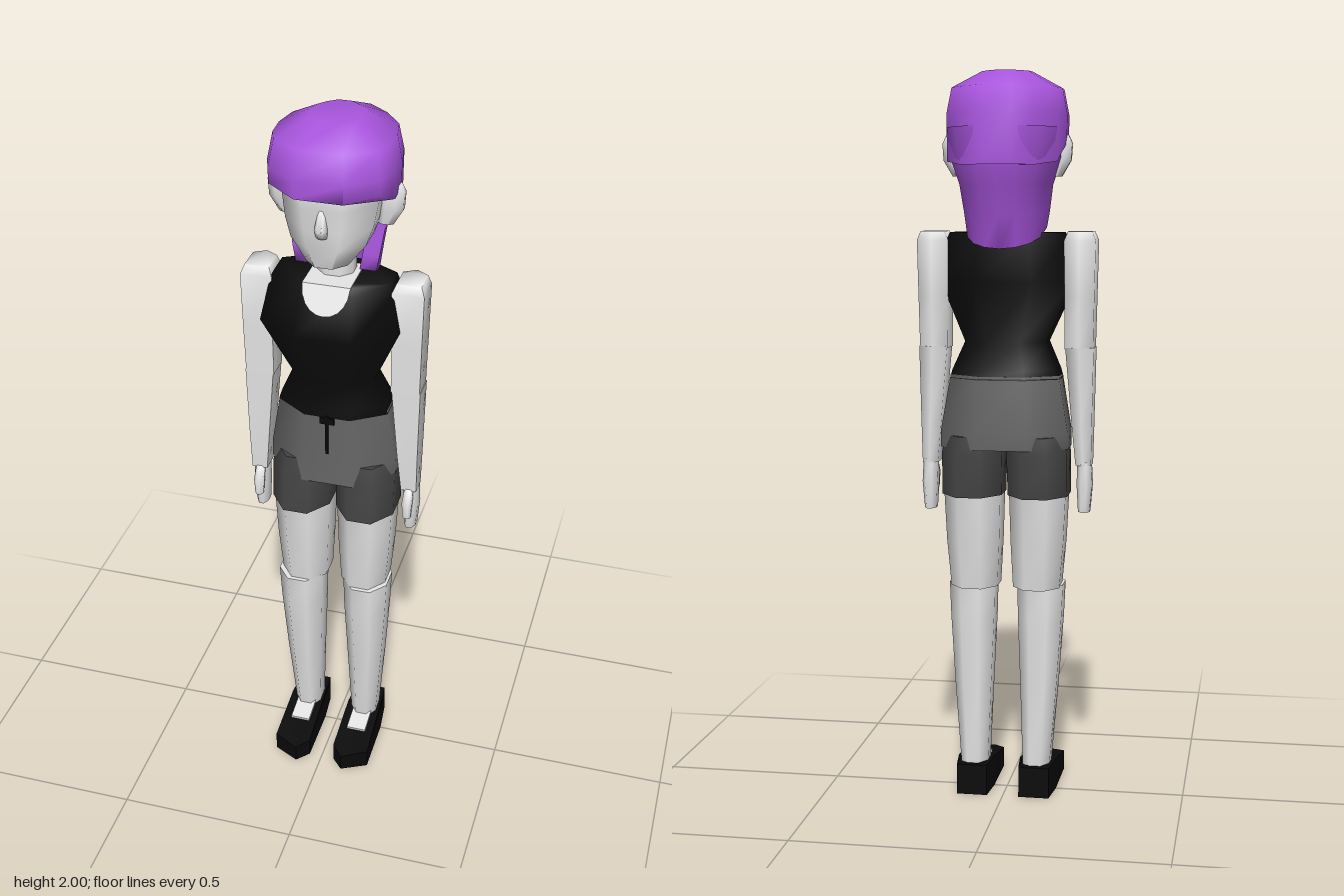
import * as THREE from 'three';
import { toCreasedNormals } from 'three/addons/utils/BufferGeometryUtils.js';

const material = (name, color) => {
  const m = new THREE.MeshStandardMaterial({ color, side: THREE.DoubleSide });
  m.name = name;
  return m;
};

// Closed solid through a stack of rings of [x, y, z]; side = -1 mirrors it across x.
function loft(rings, side = 1, crease = 1.3) {
  if (side < 0) rings = rings.map(r => r.map(([x, y, z]) => [-x, y, z]).reverse());
  const n = rings[0].length, pos = rings.flat(2), index = [];
  for (let k = 0; k < rings.length - 1; k++) {
    for (let i = 0; i < n; i++) {
      const a = k * n + i, b = k * n + (i + 1) % n;
      index.push(b, a, a + n, b, a + n, b + n);
    }
  }
  for (const [k, up] of [[0, -1], [rings.length - 1, 1]]) {
    const pts = rings[k].map(p => new THREE.Vector2(p[0], p[2]));
    for (const [a, b, c] of THREE.ShapeUtils.triangulateShape(pts, [])) {
      const [p, q, r] = [pts[a], pts[b], pts[c]];
      const facing = (q.y - p.y) * (r.x - p.x) - (q.x - p.x) * (r.y - p.y);
      if (facing * up > 0) index.push(k * n + a, k * n + b, k * n + c);
      else index.push(k * n + a, k * n + c, k * n + b);
    }
  }
  const g = new THREE.BufferGeometry();
  g.setAttribute('position', new THREE.Float32BufferAttribute(pos, 3));
  g.setIndex(index);
  return toCreasedNormals(g, crease);
}

// Eight-sided ring filling the given x and z ranges.
function oct(y, x0, x1, z0, z1) {
  const s = 0.5 / Math.cos(Math.PI / 8);
  return Array.from({ length: 8 }, (_, i) => {
    const a = (i + 0.5) * Math.PI / 4;
    return [(x0 + x1) / 2 + Math.cos(a) * (x1 - x0) * s, y, (z0 + z1) / 2 + Math.sin(a) * (z1 - z0) * s];
  });
}
const body = (y, w, z0, z1) => oct(y, -w, w, z0, z1);

// Five-sided arm ring, pointed at the back.
const pent = (y, x0, x1, z0, z1) => {
  const back = z0 + (z1 - z0) * 0.22;
  return [[x1, y, back], [x1, y, z1], [x0, y, z1], [x0, y, back], [(x0 + x1) / 2, y, z0]];
};

export function createModel() {
  const skin = material('skin', 0xe6e6e6);
  const purple = material('hair purple', 0xa855dd);
  const black = material('black cloth', 0x0a0a0a);
  const grey = material('shorts grey', 0x666666);
  const dark = material('cuff grey', 0x444444);

  const model = new THREE.Group();
  const add = (name, geometry, mat) => {
    const m = new THREE.Mesh(geometry, mat);
    m.name = name;
    model.add(m);
    return m;
  };

  // Head, neck and nose
  add('head', loft([
    body(1.635, 0.055, 0.01, 0.125), body(1.69, 0.098, -0.05, 0.135), body(1.74, 0.115, -0.09, 0.138),
    body(1.8, 0.125, -0.13, 0.142), body(1.86, 0.14, -0.14, 0.145), body(1.92, 0.11, -0.12, 0.11),
  ]), skin);
  add('neck', loft([body(1.54, 0.048, -0.05, 0.045), body(1.68, 0.048, -0.05, 0.045)]), skin);
  add('nose', loft([
    oct(1.725, -0.014, 0.014, 0.12, 0.146), oct(1.75, -0.016, 0.016, 0.12, 0.165), oct(1.8, -0.008, 0.008, 0.12, 0.143),
  ]), skin);

  // Hair cap: half outline as [x, z, lower edge height]
  const half = [[0.042, -0.209, 1.75], [0.1, -0.16, 1.75], [0.15, -0.09, 1.76], [0.165, -0.01, 1.81],
    [0.162, 0.06, 1.815], [0.143, 0.117, 1.845], [0.063, 0.169, 1.835]];
  const outline = [...half, ...half.map(([x, z, y]) => [-x, z, y]).reverse()];
  const capRing = (y, sx, sz) => outline.map(([x, z, low]) => [x * sx, y || low, z * sz]);
  add('hairCap', loft([capRing(0, 0.99, 0.99), capRing(1.885, 1, 1), capRing(1.955, 0.92, 0.87), capRing(2, 0.42, 0.38)]), purple);

  // Long hair hanging behind the ears: a U-shaped wall
  const drapeRing = (w, zf, zb, ySide, yBack, t = 0.045) => {
    const arc = (ww, back) => Array.from({ length: 9 }, (_, i) => {
      const a = Math.PI * (1 + i / 8), s = Math.pow(Math.abs(Math.sin(a)), 0.8);
      return [ww * Math.cos(a), ySide + (yBack - ySide) * s, zf + (back - zf) * s];
    });
    return [...arc(w, zb), ...arc(w - t, zb + t).reverse()];
  };
  add('longHair', loft([
    drapeRing(0.108, 0.01, -0.135, 1.585, 1.53), drapeRing(0.116, 0.01, -0.155, 1.63, 1.62),
    drapeRing(0.126, 0.0, -0.182, 1.7, 1.7), drapeRing(0.15, -0.005, -0.202, 1.77, 1.77),
    drapeRing(0.16, -0.005, -0.206, 1.85, 1.85),
  ]), purple);

  // Top with a scooped neckline
  add('top', loft([
    body(1.175, 0.152, -0.108, 0.098), body(1.2, 0.145, -0.1, 0.095), body(1.275, 0.113, -0.072, 0.086),
    body(1.44, 0.185, -0.075, 0.15), body(1.55, 0.165, -0.075, 0.102), body(1.572, 0.155, -0.072, 0.094),
  ]), black);
  const scoop = new THREE.Shape();
  scoop.moveTo(-0.064, 1.575);
  scoop.bezierCurveTo(-0.064, 1.475, 0.064, 1.475, 0.064, 1.575);
  const neckline = new THREE.ShapeGeometry(scoop, 10);
  const np = neckline.attributes.position;
  for (let i = 0; i < np.count; i++) np.setZ(i, 0.101 + (1.572 - np.getY(i)) * 0.43);
  neckline.computeVertexNormals();
  add('neckline', neckline, skin);
  add('collarSkin', new THREE.BoxGeometry(0.128, 0.006, 0.14), skin).position.set(0, 1.572, 0.03);

  // Shorts with a wavy hem and drawstring
  const hem = body(0, 0.176, -0.122, 0.098).map(([x, , z]) => [x, z > 0.05 && Math.abs(x) < 0.1 ? 0.96 : 0.985, z]);
  add('shorts', loft([hem, body(1.03, 0.176, -0.124, 0.096), body(1.185, 0.15, -0.106, 0.096)]), grey);
  add('drawstring', new THREE.BoxGeometry(0.008, 0.12, 0.006), black).position.set(0, 1.12, 0.098);
  add('drawstringBow', new THREE.BoxGeometry(0.04, 0.02, 0.006), black).position.set(0, 1.165, 0.098);

  for (const s of [1, -1]) {
    const part = s > 0 ? 'left' : 'right';
    const side = (name, rings, mat, crease) => add(part + name, loft(rings, s, crease), mat);

    side('Ear', [oct(1.722, 0.11, 0.15, -0.01, 0.015), oct(1.765, 0.11, 0.175, -0.018, 0.024),
      oct(1.81, 0.11, 0.178, -0.02, 0.026), oct(1.832, 0.12, 0.168, -0.015, 0.02)], skin);

    // Arms
    side('UpperArm', [pent(1.255, 0.162, 0.24, -0.045, 0.05), pent(1.4, 0.162, 0.243, -0.05, 0.054),
      pent(1.55, 0.16, 0.246, -0.054, 0.056), pent(1.575, 0.17, 0.236, -0.045, 0.045)], skin);
    side('Forearm', [pent(0.935, 0.193, 0.236, -0.034, 0.036), pent(1.05, 0.182, 0.238, -0.042, 0.044),
      pent(1.26, 0.164, 0.242, -0.048, 0.05)], skin);
    side('Hand', [oct(0.805, 0.2, 0.232, -0.03, 0.03), oct(0.88, 0.196, 0.238, -0.036, 0.04),
      oct(0.945, 0.197, 0.235, -0.03, 0.034)], skin);
    side('Thumb', [oct(0.855, 0.203, 0.225, 0.035, 0.058), oct(0.9, 0.2, 0.228, 0.03, 0.06),
      oct(0.94, 0.203, 0.226, 0.01, 0.04)], skin);

    // Legs
    side('Cuff', [oct(0.852, 0.009, 0.174, -0.113, 0.106), oct(0.97, 0.006, 0.174, -0.117, 0.096),
      oct(1.02, 0.01, 0.165, -0.11, 0.085)], dark);
    side('Thigh', [oct(0.592, 0.022, 0.152, -0.085, 0.078), oct(0.72, 0.016, 0.163, -0.098, 0.092),
      oct(0.87, 0.012, 0.17, -0.108, 0.102)], skin);
    side('Shin', [oct(0.07, 0.05, 0.125, -0.068, 0.04), oct(0.3, 0.042, 0.143, -0.068, 0.066),
      oct(0.5, 0.034, 0.156, -0.068, 0.085), oct(0.598, 0.032, 0.16, -0.068, 0.09)], skin);

    // Shoe: outline as [x, z, top height]
    const sole = [[0.13, -0.086, 0.086], [0.14, 0, 0.086], [0.142, 0.17, 0.055], [0.07, 0.206, 0.05],
      [0.037, 0.17, 0.055], [0.037, 0, 0.086], [0.045, -0.086, 0.086]];
    side('Shoe', [sole.map(([x, z]) => [x, 0, z]), sole.map(([x, z, h]) => [x, h, z])], black, 0.5);
    const instep = add(part + 'Instep', new THREE.BoxGeometry(0.056, 0.008, 0.08), skin);
    instep.position.set(s * 0.088, 0.076, 0.06);
    instep.rotation.x = 0.18;
  }
  return model;
}
